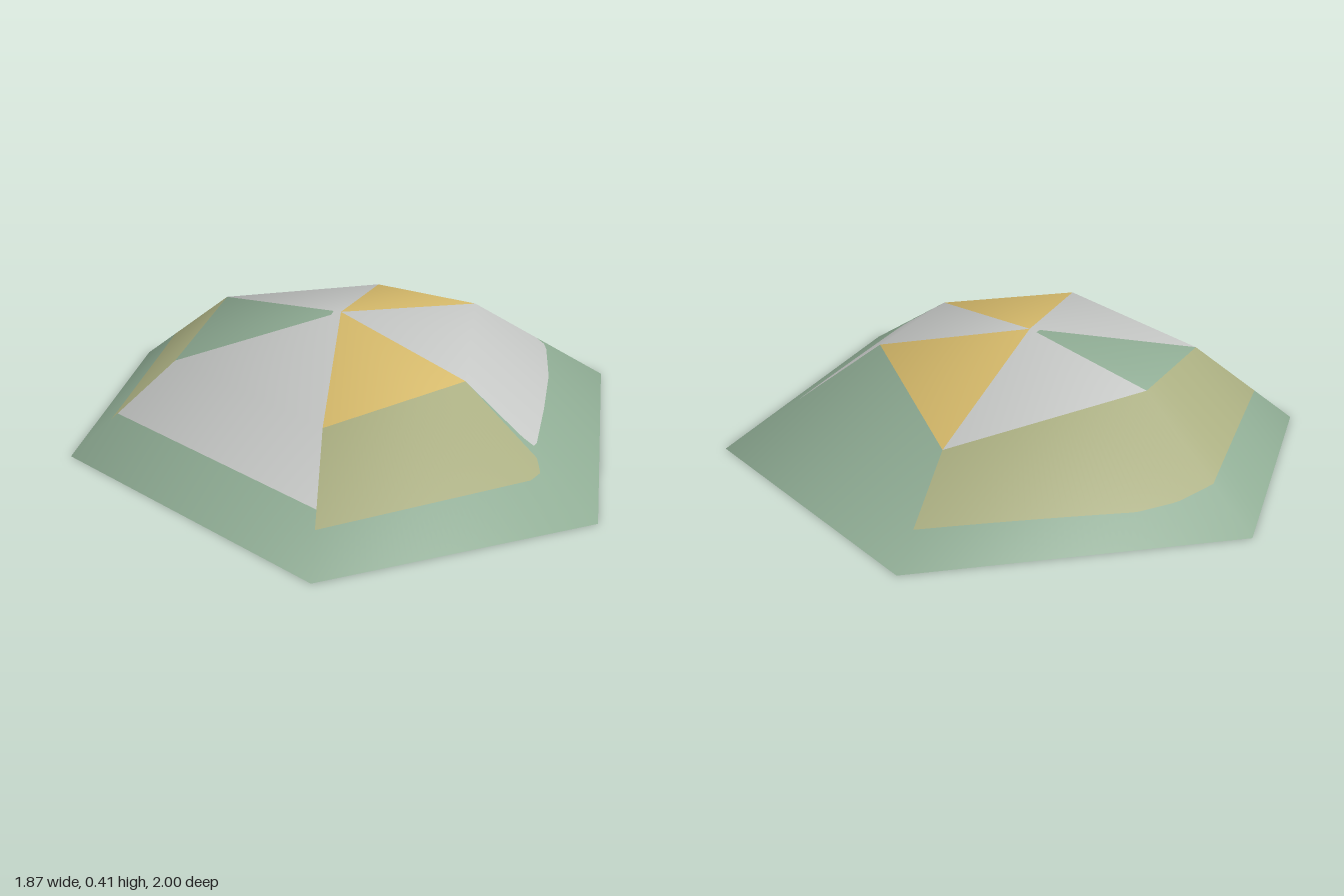
import * as THREE from 'three';

const material = (name, color) => {
  const m = new THREE.MeshStandardMaterial({ color, side: THREE.DoubleSide });
  m.name = name;
  return m;
};

export function createModel() {
  const group = new THREE.Group();
  group.name = 'canopy';
  const green = material('sage green', 0x8eab93);
  const grey = material('light grey', 0xc4c6c4);
  const yellow = material('warm yellow', 0xd5b96a);
  const olive = material('olive', 0xa9ad80);

  // Apex, shoulder ring and ground rim, clockwise from the back
  const points = [
    [-0.05, 0.415, -0.035],
    [0, 0.265, -0.69], [0.42, 0.38, -0.27], [0.42, 0.33, 0.28],
    [0, 0.305, 0.62], [-0.59, 0.312, 0.24], [-0.53, 0.355, -0.25],
    [0.02, 0, -1], [0.93, 0, -0.525], [0.87, 0, 0.56],
    [0.03, 0, 1], [-0.935, 0, 0.42], [-0.935, 0, -0.44],
  ];

  // Smooth normals shared by all panels, taken from the plain shell
  const shell = new THREE.BufferGeometry();
  shell.setAttribute('position', new THREE.Float32BufferAttribute(points.flat(), 3));
  const faces = [];
  for (let i = 0; i < 6; i++) {
    const m = 1 + i, n = 1 + (i + 1) % 6;
    faces.push(0, n, m, m, n, n + 6, m, n + 6, m + 6);
  }
  shell.setIndex(faces);
  shell.computeVertexNormals();
  const corners = points.map((p, i) => ({
    pos: new THREE.Vector3(...p),
    nor: new THREE.Vector3().fromBufferAttribute(shell.attributes.normal, i),
  }));

  // Depth of a colour edge at s, from a list of [s, depth]
  const depthAt = (profile, s) => {
    for (let k = 1; k < profile.length; k++) {
      const [s0, t0] = profile[k - 1], [s1, t1] = profile[k];
      if (s <= s1) return t0 + (t1 - t0) * (s - s0) / (s1 - s0);
    }
    return profile[profile.length - 1][1];
  };

  // Panel between two depth profiles on the patch a-b (upper edge), c-d (lower edge)
  function panel(name, mat, [a, b, c, d], upper, lower) {
    const steps = 50, pos = [], nor = [], index = [];
    const blend = (key, s, t) => {
      const top = corners[a][key].clone().lerp(corners[b][key], s);
      return top.lerp(corners[c][key].clone().lerp(corners[d][key], s), t);
    };
    for (let k = 0; k <= steps; k++) {
      const s = k / steps;
      for (const profile of [upper, lower]) {
        const t = depthAt(profile, s);
        pos.push(...blend('pos', s, t).toArray());
        nor.push(...blend('nor', s, t).normalize().toArray());
      }
      if (k < steps) {
        const q = 2 * k;
        index.push(q, q + 2, q + 3, q, q + 3, q + 1);
      }
    }
    const geometry = new THREE.BufferGeometry();
    geometry.setAttribute('position', new THREE.Float32BufferAttribute(pos, 3));
    geometry.setAttribute('normal', new THREE.Float32BufferAttribute(nor, 3));
    geometry.setIndex(index);
    const mesh = new THREE.Mesh(geometry, mat);
    mesh.name = name;
    group.add(mesh);
  }

  const level = (t) => [[0, t], [1, t]];

  // Each side: top colour, band colour and the lower edge of the band
  const sides = [
    { name: 'backLeft', top: yellow },
    { name: 'left', top: grey, band: grey, edge: [[0, 0.47], [0.02, 0.53], [0.06, 0.55],
      [0.3, 0.585], [0.6, 0.57], [0.9, 0.54], [0.94, 0.52], [0.96, 0.44], [1, 0]] },
    { name: 'frontLeft', top: yellow, band: olive, edge: [[0, 0.55], [0.04, 0.64], [0.1, 0.67], [1, 0.67]] },
    { name: 'frontRight', top: grey, band: grey, edge: [[0, 0.54], [1, 0.55]] },
    { name: 'right', top: green, band: olive, edge: [[0, 0.61], [1, 0.64]] },
    { name: 'backRight', top: grey, band: olive, edge: [[0, 0.64], [0.15, 0.72], [0.29, 0.75], [1, 0.645]] },
  ];

  sides.forEach(({ name, top, band, edge }, i) => {
    const m = 1 + i, n = 1 + (i + 1) % 6;
    const roof = [0, 0, m, n], skirt = [m, n, m + 6, n + 6];
    // Roof triangle; the green one stops just short of the apex
    const start = top === green ? 0.06 : 0;
    if (start) panel(name + 'Tip', grey, roof, level(0), level(start));
    panel(name + 'Roof', top, roof, level(start), level(1));
    // Sloping wall: coloured band above, green hem below
    if (band) panel(name + 'Band', band, skirt, level(0), edge);
    panel(name + 'Hem', green, skirt, edge ?? level(0), level(1));
  });

  return group;
}
